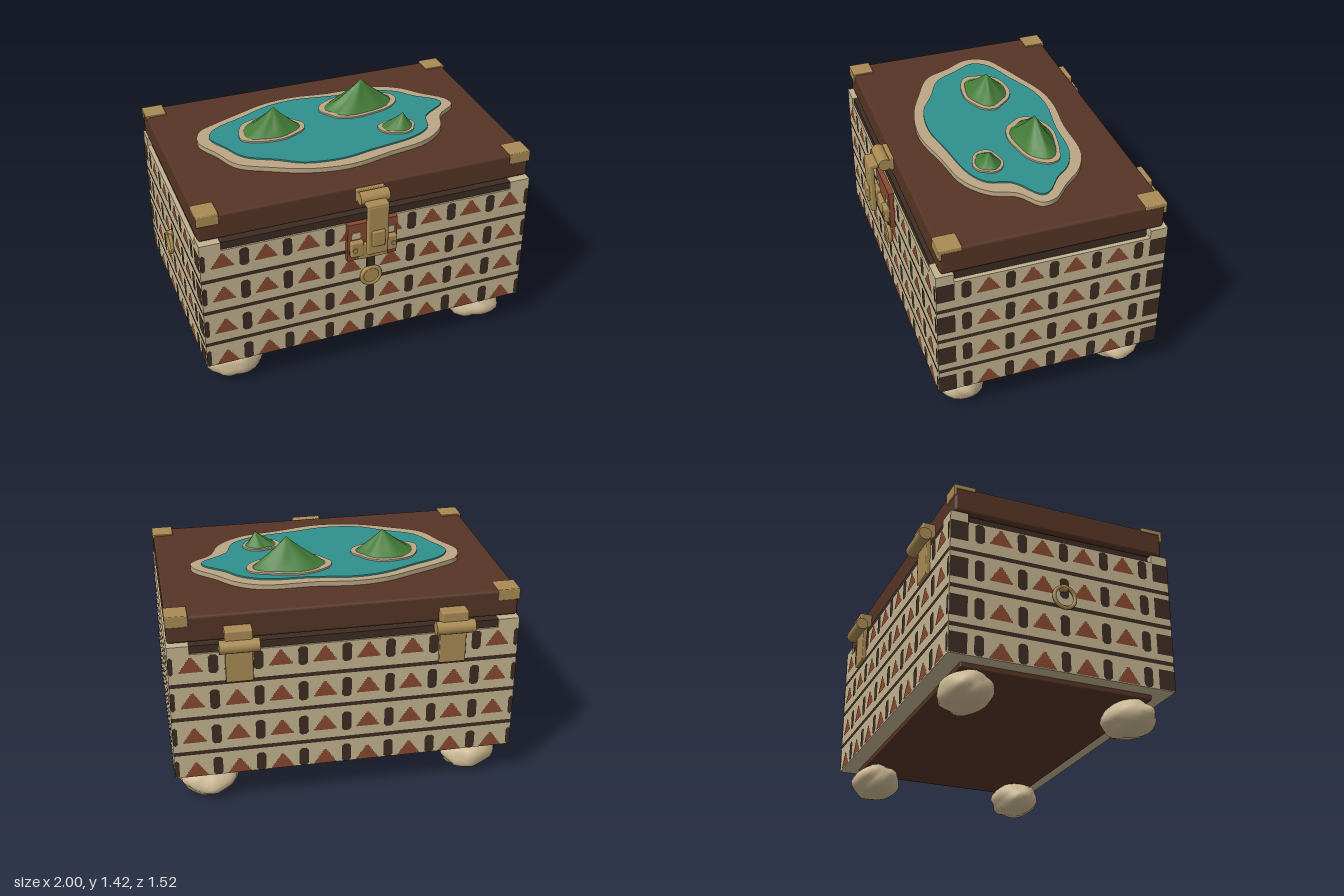
import * as THREE from 'three';
import { mergeGeometries, mergeVertices } from 'three/addons/utils/BufferGeometryUtils.js';
import { RoundedBoxGeometry } from 'three/addons/geometries/RoundedBoxGeometry.js';

export function createModel() {
  const root = new THREE.Group();
  root.name = 'chest';
  const mat = (name, color) => {
    const m = new THREE.MeshStandardMaterial({ color });
    m.name = name;
    return m;
  };
  const cream = mat('cream', 0xc2b28f), dark = mat('darkBrown', 0x3c2d23), red = mat('brickRed', 0x874930);
  const brown = mat('lidBrown', 0x553425), gold = mat('brass', 0xa98a53), teal = mat('water', 0x2f908d);
  const sand = mat('sand', 0xbba684), green = mat('grass', 0x447c38), stone = mat('stone', 0xcab792);

  const add = (name, geo, material, parent = root) => {
    const m = new THREE.Mesh(geo, material);
    m.name = name;
    parent.add(m);
    return m;
  };
  // box given by its limits, optionally with rounded edges
  const box = (name, material, [x0, x1], [y0, y1], [z0, z1], r = 0, parent = root) => {
    const s = [x1 - x0, y1 - y0, z1 - z0];
    const g = r ? new RoundedBoxGeometry(...s, 2, r) : new THREE.BoxGeometry(...s);
    return add(name, g.translate((x0 + x1) / 2, (y0 + y1) / 2, (z0 + z1) / 2), material, parent);
  };
  const barX = (name, r, len, x, y, z, parent = root) =>
    add(name, new THREE.CylinderGeometry(r, r, len, 16).rotateZ(Math.PI / 2).translate(x, y, z), gold, parent);

  const CX = 0.015, CZ = -0.022, X = [-0.965, 0.995], Z = [-0.678, 0.633];

  // body, plinth and rim
  box('body', cream, X, [0.22, 1.0], Z);
  box('plinth', brown, [-0.88, 0.91], [0.188, 0.225], [-0.58, 0.535], 0.01);
  box('rim', dark, [-0.94, 0.97], [0.99, 1.048], [-0.564, 0.523]);
  box('rimFrontBack', dark, [-0.87, 0.9], [0.99, 1.045], [-0.668, 0.623]);
  for (const sx of [0, 1]) for (const sz of [0, 1]) {
    const xs = sx ? [0.875, 0.995] : [-0.965, -0.845];
    const zs = sz ? [0.533, 0.633] : [-0.678, -0.578];
    box('cornerPost', cream, xs, [0.99, 1.05], zs);
  }

  // painted pattern: stripes, bars and stepped triangles on all four walls
  const poly = (pts) => new THREE.ShapeGeometry(new THREE.Shape(pts.map((p) => new THREE.Vector2(...p))));
  const rect = (u0, u1, y0, y1) => poly([[u0, y0], [u1, y0], [u1, y1], [u0, y1]]);
  const bar = (u0, u1, y0, y1, c = 0.014) => poly([[u0 + c, y0], [u1 - c, y0], [u1, y0 + c], [u1, y1 - c],
    [u1 - c, y1], [u0 + c, y1], [u0, y1 - c], [u0, y0 + c]]);
  const tri = (u, y, n = 8) => {
    const right = [], left = [];
    for (let i = 0; i < n; i++) {
      const w = 0.065 - 0.055 * i / (n - 1), a = y + 0.092 * i / n, b = y + 0.092 * (i + 1) / n;
      right.push([u + w, a], [u + w, b]);
      left.unshift([u - w, b], [u - w, a]);
    }
    return poly([...right, ...left]);
  };
  const barRows = [[0.222, 0.338], [0.43, 0.552], [0.653, 0.775], [0.878, 0.992]];
  const triRows = [0.223, 0.447, 0.67, 0.892];
  const walls = [['front', 0, 0, 0.633], ['back', Math.PI, 0, -0.678],
    ['left', Math.PI / 2, 0.995, 0], ['right', -Math.PI / 2, -0.965, 0]];
  for (const [name, turn, px, pz] of walls) {
    const long = pz !== 0, half = long ? 0.98 : 0.655, n = long ? 4 : 2;
    const darks = [0.38, 0.602, 0.815].map((y) => rect(-half, half, y - 0.012, y + 0.012));
    const reds = [];
    barRows.forEach(([y0, y1], r) => {
      for (let k = -n; k <= n; k++) {
        const u = k * 0.245;
        darks.push(bar(Math.max(u - 0.027, -half), Math.min(u + 0.027, half), y0, y1));
        if (k < n) reds.push(tri(u + 0.1225, triRows[r]));
      }
      if (!long) for (const s of [-1, 1]) darks.push(rect(s * 0.605 - 0.05, s * 0.605 + 0.05, y0, y1));
    });
    const place = (list) => mergeGeometries(list).translate(0, 0, 0.004).rotateY(turn)
      .translate(long ? CX : px, 0, long ? pz : CZ);
    add(name + 'DarkPattern', place(darks), dark);
    add(name + 'RedPattern', place(reds), red);
  }

  // lid with brass corner brackets
  box('lid', brown, [-0.96, 0.99], [1.057, 1.213], [-0.653, 0.606], 0.018);
  for (const sx of [0, 1]) for (const sz of [0, 1]) {
    const xs = sx ? [0.87, 0.995] : [-0.965, -0.84];
    box('cornerBracketTop', gold, xs, [1.195, 1.221], sz ? [0.485, 0.613] : [-0.66, -0.535], 0.005);
    box('cornerBracketSide', gold, xs, [1.155, 1.215], sz ? [0.595, 0.613] : [-0.66, -0.642], 0.005);
  }

  // lagoon: sand bank and raised water sheet
  const slab = (pts, y0, y1) => {
    const curve = new THREE.CatmullRomCurve3(pts.map(([x, z]) => new THREE.Vector3(x, -z, 0)), true);
    const shape = new THREE.Shape(curve.getPoints(80).slice(0, -1).map((p) => new THREE.Vector2(p.x, p.y)));
    return new THREE.ExtrudeGeometry(shape, { depth: y1 - y0, bevelEnabled: false })
      .rotateX(-Math.PI / 2).translate(0, y0, 0);
  };
  add('sandBank', slab([[-0.76, -0.1], [-0.72, -0.22], [-0.61, -0.28], [-0.45, -0.345], [-0.26, -0.415],
    [-0.08, -0.432], [0.14, -0.405], [0.43, -0.395], [0.58, -0.32], [0.68, -0.21], [0.79, -0.1], [0.8, -0.02],
    [0.68, 0.075], [0.62, 0.21], [0.48, 0.32], [0.24, 0.37], [-0.02, 0.42], [-0.26, 0.385], [-0.45, 0.3],
    [-0.62, 0.2], [-0.69, 0.05]], 1.205, 1.241), sand);
  add('water', slab([[-0.69, -0.11], [-0.64, -0.2], [-0.45, -0.285], [-0.26, -0.365], [-0.08, -0.385],
    [0.16, -0.35], [0.4, -0.335], [0.54, -0.27], [0.62, -0.18], [0.73, -0.09], [0.74, -0.04], [0.59, 0.07],
    [0.54, 0.2], [0.43, 0.27], [0.16, 0.32], [-0.05, 0.355], [-0.26, 0.325], [-0.4, 0.24], [-0.56, 0.15],
    [-0.63, 0.02]], 1.235, 1.25), teal);

  // islands: sandy shore and a concave ridged hill leaning to its peak
  const islands = [
    { c: [-0.335, -0.082], r: [0.205, 0.148], peak: [-0.31, 1.395, -0.085], ph: 0.4 },
    { c: [0.248, -0.18], r: [0.255, 0.14], peak: [0.267, 1.43, -0.175], ph: 2.0 },
    { c: [0.372, 0.142], r: [0.115, 0.088], peak: [0.405, 1.343, 0.145], ph: 4.1 },
  ];
  for (const { c, r, peak, ph } of islands) {
    const edge = (a, k) => {
      const w = k * (0.96 + 0.05 * Math.sin(3 * a + ph) + 0.03 * Math.sin(5 * a + 2 * ph));
      return [c[0] + r[0] * w * Math.cos(a), c[1] + r[1] * w * Math.sin(a)];
    };
    const shore = Array.from({ length: 14 }, (_, i) => edge(i / 14 * Math.PI * 2, 1));
    add('islandShore', slab(shore, 1.24, 1.26), sand);
    const rings = 7, seg = 28, hill = new THREE.CylinderGeometry(0, 1, 1, seg, rings, true);
    const p = hill.attributes.position;
    for (let i = 0; i < p.count; i++) {
      const t = p.getY(i) + 0.5, a = Math.atan2(p.getZ(i), p.getX(i));
      const [ex, ez] = edge(a, 0.88);
      const f = (1 - t) * (1 + 0.09 * Math.sin(6 * a + ph) * Math.sin(t * Math.PI));
      const y = 1.255 + (peak[1] - 1.255) * (0.72 * t + 0.28 * t * t);
      const full = t > 0.999;
      p.setXYZ(i, full ? peak[0] : peak[0] + (ex - peak[0]) * f, y, full ? peak[2] : peak[2] + (ez - peak[2]) * f);
    }
    hill.deleteAttribute('uv');
    hill.deleteAttribute('normal');
    const smooth = mergeVertices(hill, 1e-4);
    smooth.computeVertexNormals();
    add('islandHill', smooth, green);
  }

  // lumpy stone feet
  [[-0.76, 0.455], [0.79, 0.455], [-0.76, -0.505], [0.79, -0.505]].forEach(([x, z], n) => {
    let g = new THREE.IcosahedronGeometry(1, 4);
    g.deleteAttribute('uv');
    g.deleteAttribute('normal');
    g = mergeVertices(g, 1e-4);
    const p = g.attributes.position, v = new THREE.Vector3();
    for (let i = 0; i < p.count; i++) {
      v.fromBufferAttribute(p, i);
      const k = 1 + 0.05 * Math.sin(4 * v.x + 3 * v.y + n) + 0.04 * Math.sin(6 * v.z - 5 * v.y + 2 * n)
        + 0.025 * Math.sin(9 * v.x + 8 * v.z + n);
      p.setXYZ(i, v.x * k * 0.172, Math.max(v.y * k * 0.1, -0.108), v.z * k * 0.143);
    }
    g.computeVertexNormals();
    add('stoneFoot', g.translate(x, 0.108, z), stone);
  });

  // front hasp, backing plate and lock disc
  const hasp = new THREE.Group();
  hasp.name = 'hasp';
  root.add(hasp);
  box('backPlate', red, [-0.135, 0.16], [0.765, 1.005], [0.63, 0.662], 0, hasp);
  for (const s of [-1, 1]) {
    box('plateInlay', cream, [CX + s * 0.1 - 0.025, CX + s * 0.1 + 0.025], [0.91, 0.95], [0.655, 0.666], 0, hasp);
    box('plateStripe', dark, [CX + s * 0.1 - 0.04, CX + s * 0.1 + 0.04], [0.81, 0.835], [0.655, 0.666], 0, hasp);
    box('staple', gold, [CX + s * 0.1 - 0.038, CX + s * 0.1 + 0.038], [0.8, 0.9], [0.65, 0.69], 0.01, hasp);
    add('screw', new THREE.CylinderGeometry(0.014, 0.014, 0.012, 12).rotateX(Math.PI / 2)
      .translate(CX + s * 0.115, 0.85, 0.692), gold, hasp);
  }
  box('stapleBase', gold, [-0.075, 0.1], [0.775, 0.875], [0.65, 0.685], 0.01, hasp);
  box('hingeLeaf', gold, [-0.07, 0.095], [1.12, 1.2], [0.6, 0.63], 0.005, hasp);
  barX('haspBarrel', 0.037, 0.17, CX, 1.167, 0.658, hasp);
  box('haspBend', gold, [-0.05, 0.075], [1.135, 1.165], [0.65, 0.745], 0.01, hasp);
  box('haspStrap', gold, [-0.05, 0.075], [0.84, 1.155], [0.714, 0.747], 0.012, hasp);
  box('haspRidge', gold, [-0.026, 0.05], [0.9, 1.0], [0.74, 0.762], 0.008, hasp);
  box('lockStem', dark, [-0.008, 0.035], [0.67, 0.78], [0.63, 0.65], 0, hasp);
  add('lockDisc', new THREE.CylinderGeometry(0.058, 0.058, 0.022, 24).rotateX(Math.PI / 2)
    .translate(CX, 0.625, 0.642), gold, hasp);
  add('lockRim', new THREE.TorusGeometry(0.056, 0.012, 8, 28).translate(CX, 0.625, 0.648), gold, hasp);

  // back hinges
  for (const x of [-0.58, 0.61]) {
    const hinge = new THREE.Group();
    hinge.name = 'hinge';
    root.add(hinge);
    barX('hingeBarrel', 0.038, 0.22, x, 1.05, -0.722, hinge);
    box('upperLeaf', gold, [x - 0.075, x + 0.075], [1.05, 1.142], [-0.727, -0.645], 0.008, hinge);
    box('lowerLeaf', gold, [x - 0.075, x + 0.075], [0.82, 1.05], [-0.702, -0.674], 0.006, hinge);
  }

  // ring pull on the right wall
  add('ringPull', new THREE.TorusGeometry(0.062, 0.011, 8, 28).rotateY(Math.PI / 2)
    .translate(-0.987, 0.65, -0.03), gold);
  box('ringMount', gold, [-0.995, -0.96], [0.69, 0.725], [-0.05, -0.01], 0.006);

  return root;
}
